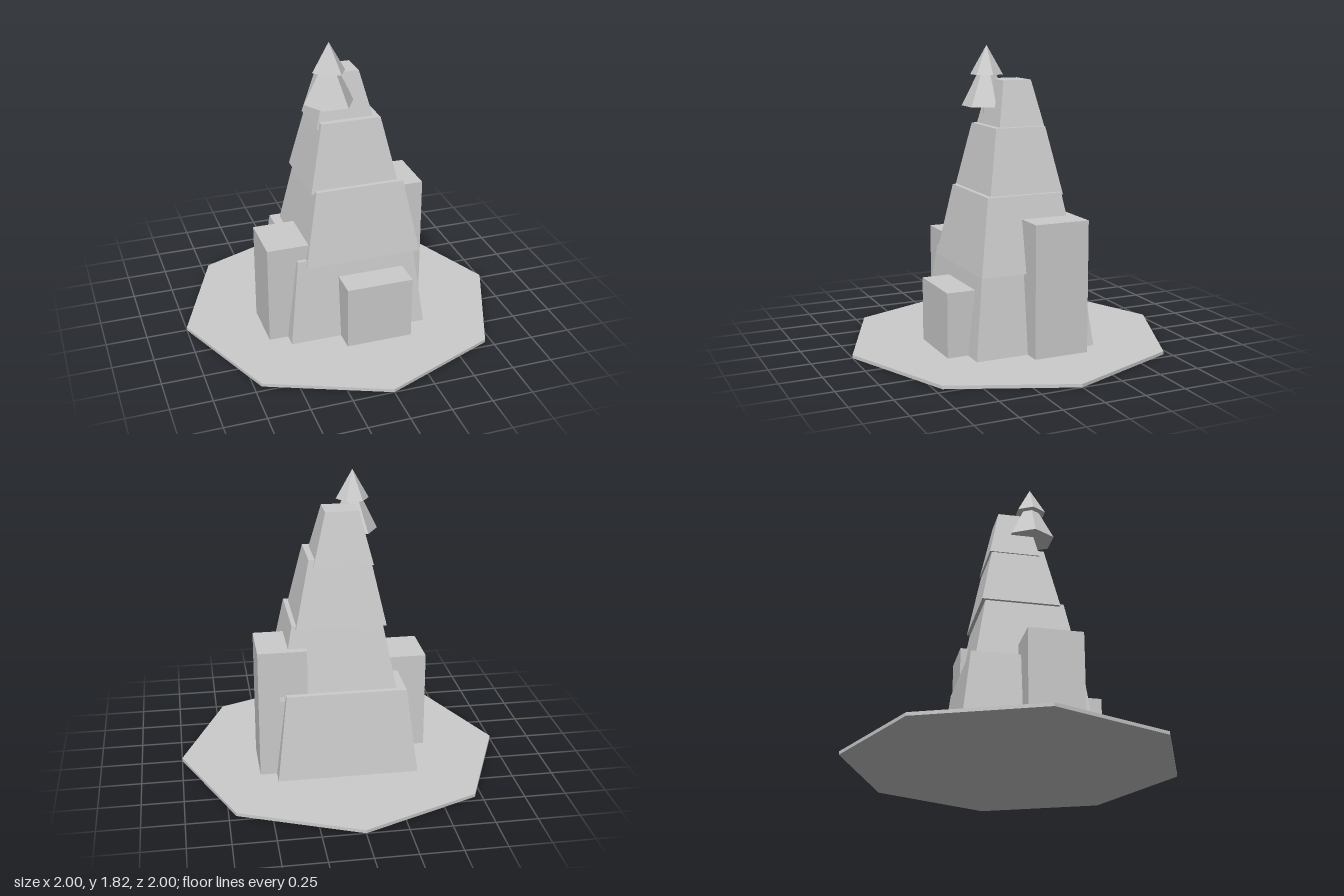
import * as THREE from 'three';

const material = new THREE.MeshStandardMaterial({ color: 0xcccccc, flatShading: true });

export function createModel() {
  const model = new THREE.Group();
  model.name = 'rockySpire';

  function add(name, geometry, x, y, z, parent = model) {
    const mesh = new THREE.Mesh(geometry, material);
    mesh.name = name;
    mesh.position.set(x, y, z);
    parent.add(mesh);
    return mesh;
  }

  // Thin eight-sided ground plate
  add('groundPlate', new THREE.CylinderGeometry(1, 1, 0.02, 8), 0, 0.01, 0);

  // Box whose upper corners are drawn in, giving a tapered block
  function taperedBlock(width, height, depth, topWidth, topDepth) {
    const geometry = new THREE.BoxGeometry(width, height, depth);
    const p = geometry.attributes.position;
    for (let i = 0; i < p.count; i++) {
      if (p.getY(i) > 0) {
        p.setX(i, p.getX(i) * topWidth / width);
        p.setZ(i, p.getZ(i) * topDepth / depth);
      }
    }
    geometry.computeVertexNormals();
    return geometry;
  }

  // Four stacked rock tiers, each slightly off centre
  const tiers = [
    { x: 0, z: 0, y0: 0.01, y1: 0.545, bottom: [0.86, 0.77], top: [0.73, 0.64] },
    { x: 0.045, z: 0.025, y0: 0.505, y1: 0.957, bottom: [0.72, 0.63], top: [0.545, 0.475] },
    { x: 0.022, z: 0, y0: 0.938, y1: 1.343, bottom: [0.545, 0.475], top: [0.367, 0.32] },
    { x: 0, z: -0.025, y0: 1.3, y1: 1.615, bottom: [0.36, 0.31], top: [0.2, 0.18] },
  ];
  tiers.forEach((t, i) => {
    const geometry = taperedBlock(t.bottom[0], t.y1 - t.y0, t.bottom[1], t.top[0], t.top[1]);
    add('rockTier' + (i + 1), geometry, t.x, (t.y0 + t.y1) / 2, t.z);
  });

  // Upright boulders leaning into the foot of the spire
  function boulder(name, x0, x1, z0, z1, height) {
    const geometry = new THREE.BoxGeometry(x1 - x0, height - 0.005, z1 - z0);
    add(name, geometry, (x0 + x1) / 2, (height + 0.005) / 2, (z0 + z1) / 2);
  }
  boulder('rightBoulder', -0.545, -0.2, -0.03, 0.295, 0.637);
  boulder('leftBoulder', 0.235, 0.53, -0.285, 0.057, 0.82);
  boulder('frontBoulder', -0.115, 0.295, 0.2, 0.512, 0.412);

  // Small six-sided fir tree near the summit
  const tree = new THREE.Group();
  tree.name = 'tree';
  tree.position.set(-0.093, 0, 0.09);
  model.add(tree);
  function treePart(name, topRadius, radius, y0, y1) {
    const geometry = new THREE.CylinderGeometry(topRadius, radius, y1 - y0, 6, 1, false, Math.PI / 2);
    add(name, geometry, 0, (y0 + y1) / 2, 0, tree);
  }
  treePart('trunk', 0.022, 0.022, 1.38, 1.5);
  treePart('lowerBranches', 0, 0.153, 1.45, 1.757);
  treePart('upperBranches', 0, 0.1, 1.64, 1.817);

  return model;
}
